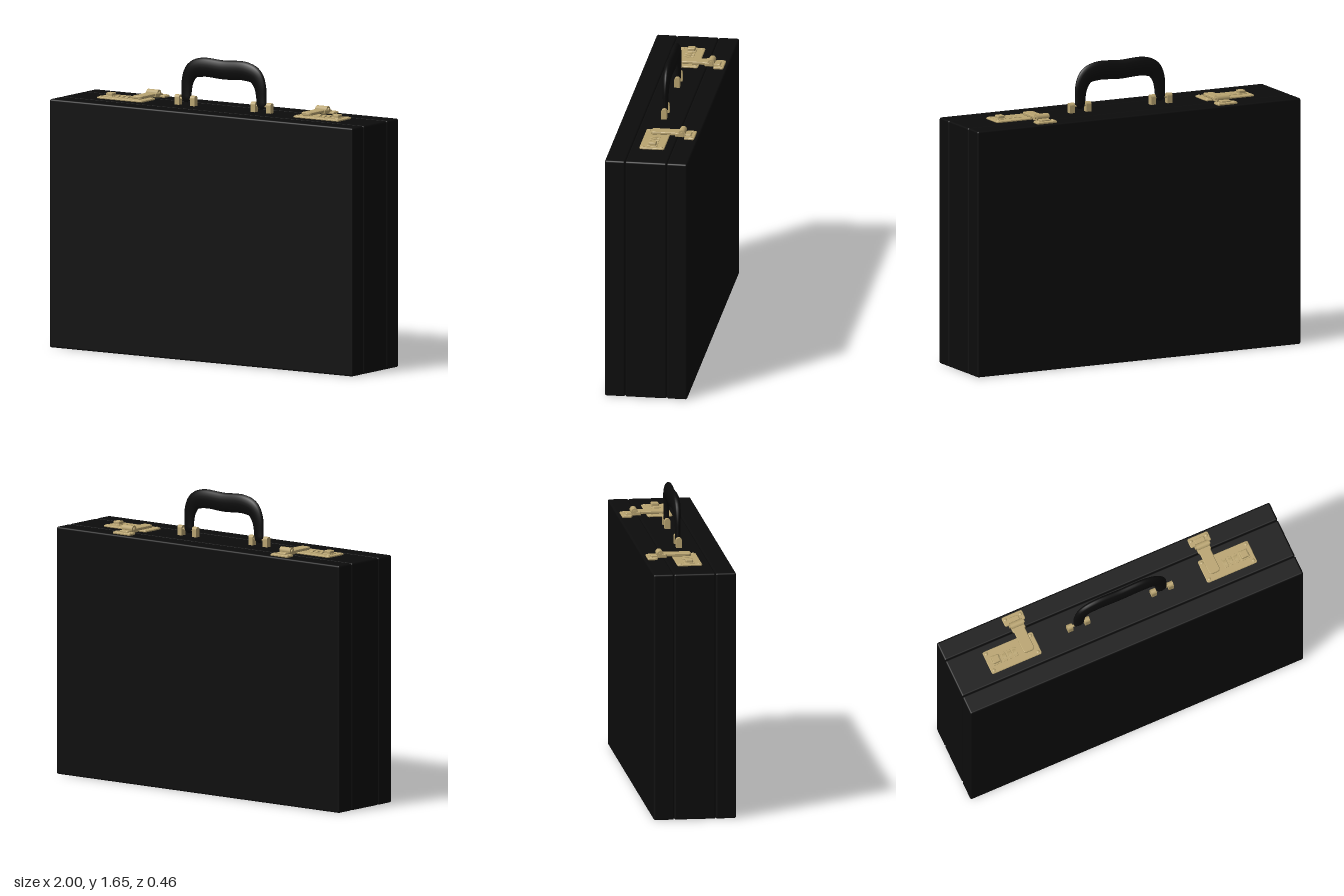
import * as THREE from 'three';
import { RoundedBoxGeometry } from 'three/addons/geometries/RoundedBoxGeometry.js';

const leather = new THREE.MeshStandardMaterial({ color: 0x0c0c0c });
leather.name = 'black leather';
const brass = new THREE.MeshStandardMaterial({ color: 0xbaa571 });
brass.name = 'brass';

const TOP = 1.375;

function add(parent, name, geometry, material, x = 0, y = 0, z = 0) {
  const mesh = new THREE.Mesh(geometry, material);
  mesh.name = name;
  mesh.position.set(x, y, z);
  parent.add(mesh);
  return mesh;
}

// Flat slab with rounded corners and a bevelled upper edge, standing on y = 0
function slab(w, d, h, r, bevel = 0.003) {
  const a = w / 2 - bevel, b = d / 2 - bevel;
  const s = new THREE.Shape();
  s.moveTo(-a + r, -b);
  s.lineTo(a - r, -b);
  s.absarc(a - r, -b + r, r, -Math.PI / 2, 0);
  s.absarc(a - r, b - r, r, 0, Math.PI / 2);
  s.absarc(-a + r, b - r, r, Math.PI / 2, Math.PI);
  s.absarc(-a + r, -b + r, r, Math.PI, Math.PI * 1.5);
  const g = new THREE.ExtrudeGeometry(s, {
    depth: h - 2 * bevel, bevelEnabled: true, bevelSize: bevel,
    bevelThickness: bevel, bevelSegments: 1, curveSegments: 6,
  });
  g.rotateX(-Math.PI / 2);
  g.translate(0, bevel, 0);
  return g;
}

// Arched grip: elliptical sections swept along a planar path
function handleGeometry() {
  const path = new THREE.CatmullRomCurve3([
    [-0.248, 1.392], [-0.246, 1.45], [-0.237, 1.52], [-0.205, 1.573], [-0.14, 1.594], [0, 1.59],
    [0.14, 1.594], [0.205, 1.573], [0.237, 1.52], [0.246, 1.45], [0.248, 1.392],
  ].map(([x, y]) => new THREE.Vector3(x, y, 0)));
  const rings = 64, sides = 20, pos = [], idx = [];
  for (let i = 0; i <= rings; i++) {
    const t = i / rings;
    const p = path.getPointAt(t), tan = path.getTangentAt(t);
    const m = THREE.MathUtils.smoothstep(Math.min(t, 1 - t), 0.04, 0.34);
    const cap = Math.sqrt(Math.min(1, Math.min(t, 1 - t) / 0.025 + 0.1));
    const half = (0.031 + 0.022 * m) * cap;
    const thick = (0.014 + 0.010 * m) * cap;
    for (let j = 0; j < sides; j++) {
      const a = (j / sides) * Math.PI * 2;
      const u = Math.cos(a) * half;
      pos.push(p.x - tan.y * u, p.y + tan.x * u, Math.sin(a) * thick);
    }
  }
  for (let i = 0; i < rings; i++) {
    for (let j = 0; j < sides; j++) {
      const a = i * sides + j, b = i * sides + (j + 1) % sides;
      idx.push(a, b, a + sides, b, b + sides, a + sides);
    }
  }
  // End caps
  for (let j = 1; j < sides - 1; j++) {
    const e = rings * sides;
    idx.push(0, j + 1, j, e, e + j, e + j + 1);
  }
  const g = new THREE.BufferGeometry();
  g.setAttribute('position', new THREE.Float32BufferAttribute(pos, 3));
  g.setIndex(idx);
  g.computeVertexNormals();
  return g;
}

// Upright lug with a rounded top, profile in z/y, extruded along x
function lugGeometry() {
  const s = new THREE.Shape();
  s.moveTo(-0.016, 0);
  s.lineTo(0.016, 0);
  s.lineTo(0.016, 0.04);
  s.absarc(0, 0.04, 0.016, 0, Math.PI);
  const g = new THREE.ExtrudeGeometry(s, { depth: 0.03, bevelEnabled: false, curveSegments: 10 });
  g.translate(0, 0, -0.015);
  g.rotateY(Math.PI / 2);
  return g;
}

function rivet(parent, x, y, z) {
  const g = new THREE.SphereGeometry(0.01, 12, 6, 0, Math.PI * 2, 0, Math.PI / 2);
  g.scale(1, 0.6, 1);
  add(parent, 'rivet', g, brass, x, y, z);
}

function rod(radius, length) {
  return new THREE.CylinderGeometry(radius, radius, length, 16).rotateZ(Math.PI / 2);
}

// Combination lock with a hinged hasp, side = +1 left or -1 right
function lock(side) {
  const g = new THREE.Group();
  g.name = side > 0 ? 'leftLock' : 'rightLock';
  const put = (name, geo, x, y, z) => add(g, name, geo, brass, side * x, TOP + y, z);

  put('lockPlate', slab(0.3, 0.138, 0.01, 0.008), 0.647, 0, -0.002);
  for (const x of [0.515, 0.78]) for (const z of [-0.053, 0.05]) rivet(g, side * x, TOP + 0.009, z);

  // Number wheels and release button
  for (let i = 0; i < 3; i++) {
    const wheel = rod(0.02, 0.016);
    wheel.scale(1, 0.45, 1);
    put('numberWheel', wheel, 0.632 + i * 0.032, 0.008, 0);
    put('wheelSurround', slab(0.024, 0.054, 0.004, 0.004, 0.001), 0.632 + i * 0.032, 0.009, 0);
  }
  put('buttonBase', slab(0.054, 0.056, 0.006, 0.004, 0.002), 0.746, 0.008, -0.001);
  put('releaseButton', slab(0.042, 0.042, 0.02, 0.004), 0.746, 0.01, -0.001);

  // Hasp arm reaching over the lock plate
  put('haspArm', slab(0.064, 0.155, 0.016, 0.014), 0.558, 0.012, -0.045);
  put('haspBridge', slab(0.076, 0.05, 0.022, 0.004), 0.558, 0.006, -0.128);
  put('hingeBarrel', rod(0.019, 0.074), 0.558, 0.027, -0.14);
  put('hingePin', rod(0.009, 0.09), 0.558, 0.027, -0.14);

  // Catch plate on the lid
  put('catchPlate', slab(0.122, 0.056, 0.012, 0.006), 0.558, 0, -0.183);
  put('catchTongue', slab(0.06, 0.045, 0.016, 0.004), 0.558, 0.004, -0.168);
  for (const x of [0.513, 0.603]) rivet(g, side * x, TOP + 0.011, -0.19);
  return g;
}

export function createModel() {
  const model = new THREE.Group();
  model.name = 'briefcase';

  // Case: two shells and a centre band, meeting in shallow seams
  const sections = [['frontShell', 0.115, 0.228], ['centreBand', -0.115, 0.115], ['backShell', -0.228, -0.115]];
  for (const [name, z0, z1] of sections) {
    add(model, name, new RoundedBoxGeometry(2, TOP, z1 - z0, 3, 0.01), leather, 0, TOP / 2, (z0 + z1) / 2);
  }

  // Handle and its mounts
  add(model, 'handle', handleGeometry(), leather);
  for (const side of [-1, 1]) {
    for (const x of [0.2, 0.302]) add(model, 'handleLug', lugGeometry(), brass, side * x, TOP, 0);
    add(model, 'handlePin', rod(0.007, 0.1), brass, side * 0.251, TOP + 0.036, 0);
    model.add(lock(side));
  }
  return model;
}
